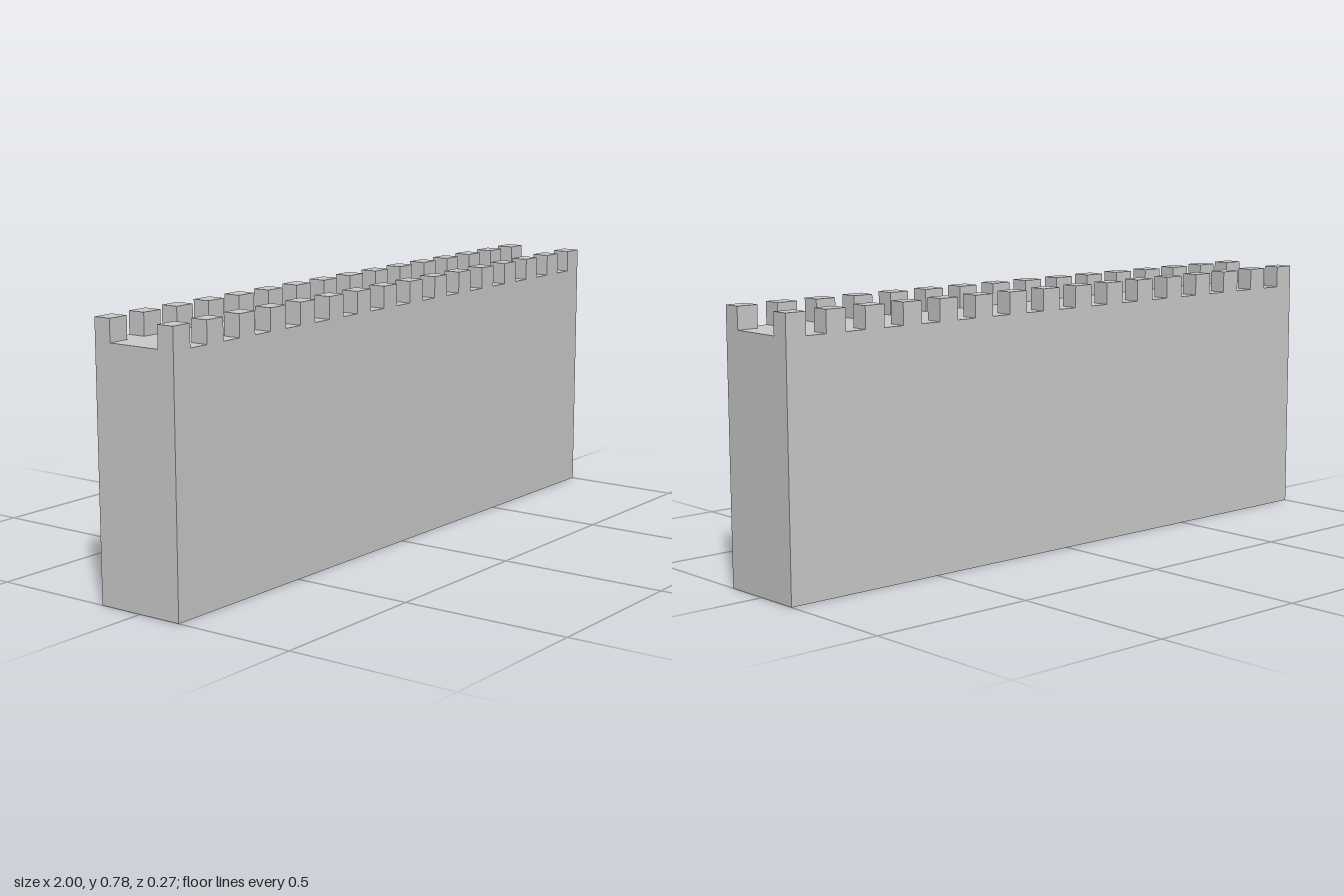
import * as THREE from 'three';

export function createModel() {
  const model = new THREE.Group();
  model.name = 'battlementWall';
  const material = new THREE.MeshStandardMaterial({ color: 0xcccccc, flatShading: true });

  const length = 2, depth = 0.271, wallHeight = 0.714;
  const merlonCount = 16;
  const merlonWidth = length / (2 * merlonCount - 1); // gaps are as wide as merlons
  const merlonHeight = 0.064, merlonDepth = 0.053;

  // Solid wall with a flat walkway on top
  const wall = new THREE.Mesh(new THREE.BoxGeometry(length, wallHeight, depth), material);
  wall.name = 'wall';
  wall.position.y = wallHeight / 2;
  model.add(wall);

  // A row of merlons along the front and back edges
  const merlonGeometry = new THREE.BoxGeometry(merlonWidth, merlonHeight, merlonDepth);
  for (const side of [1, -1]) {
    const row = new THREE.Group();
    row.name = side > 0 ? 'frontBattlement' : 'backBattlement';
    row.position.set(0, wallHeight + merlonHeight / 2, side * (depth - merlonDepth) / 2);
    for (let i = 0; i < merlonCount; i++) {
      const merlon = new THREE.Mesh(merlonGeometry, material);
      merlon.name = 'merlon';
      merlon.position.x = -length / 2 + merlonWidth * (2 * i + 0.5);
      row.add(merlon);
    }
    model.add(row);
  }
  return model;
}
